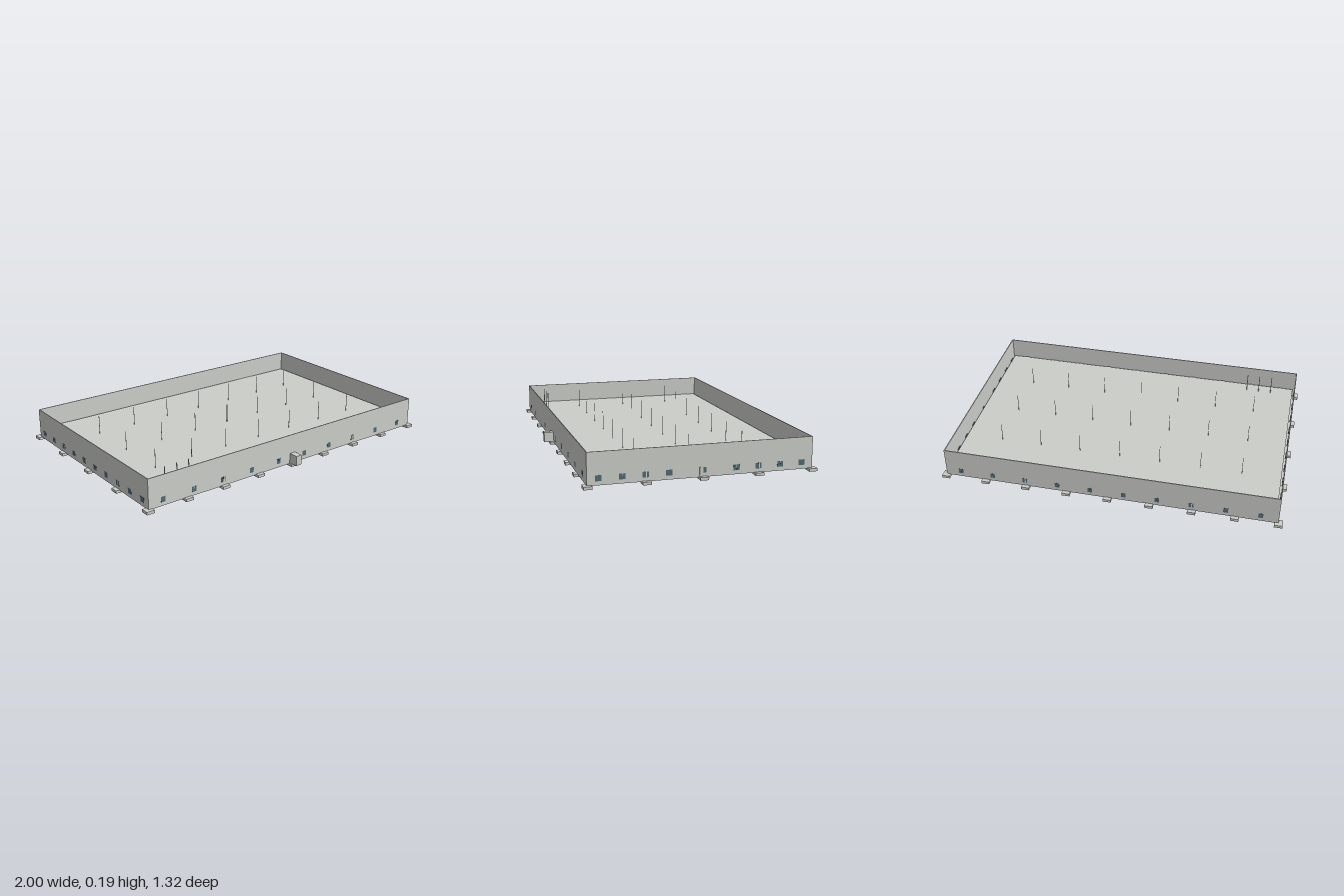
import * as THREE from 'three';

export function createModel() {
  const model = new THREE.Group();
  const concrete = new THREE.MeshStandardMaterial({ color: 0xcbcdc9 });
  concrete.name = 'concrete grey';
  const glass = new THREE.MeshStandardMaterial({ color: 0x4f6a76 });
  glass.name = 'window blue grey';

  // Box from min and max corners
  function box(name, x0, x1, y0, y1, z0, z1, mat = concrete, parent = model) {
    const mesh = new THREE.Mesh(new THREE.BoxGeometry(x1 - x0, y1 - y0, z1 - z0), mat);
    mesh.position.set((x0 + x1) / 2, (y0 + y1) / 2, (z0 + z1) / 2);
    mesh.name = name;
    parent.add(mesh);
  }

  const X = 0.976, ZF = 0.604, ZB = -0.638, T = 0.005;
  const base = 0.013, slabTop = 0.017, floorTop = 0.071, top = 0.19;
  const cols = Array.from({ length: 9 }, (_, i) => -X + (i * 2 * X) / 8);
  const rows = Array.from({ length: 5 }, (_, i) => ZB + i * 0.31);

  // Ground slab, and the raised floor set in slightly from the walls
  const inset = 0.016;
  box('groundSlab', -X + T, X - T, base + 0.001, slabTop, ZB + T, ZF - T);
  box('raisedFloor', -X + inset, X - inset, slabTop, floorTop, ZB + inset, ZF - inset);

  // Perimeter walls
  box('frontWall', -X, X, base, top, ZF - T, ZF);
  box('backWall', -X, X, base, top, ZB, ZB + T);
  box('leftWall', X - T, X, base, top, ZB + T, ZF - T);
  box('rightWall', -X, -X + T, base, top, ZB + T, ZF - T);

  // Ground beams below the slab
  const beams = new THREE.Group();
  beams.name = 'groundBeams';
  model.add(beams);
  for (const x of cols.slice(1, -1))
    box('crossBeam', x - 0.013, x + 0.013, 0.01, 0.0145, ZB, ZF, concrete, beams);
  for (const z of rows.slice(1, -1))
    box('longBeam', -X, X, 0.0105, 0.0145, z - 0.013, z + 0.013, concrete, beams);

  // Footing pads and thin interior columns
  cols.forEach((x, i) => rows.forEach((z, j) => {
    const inner = i > 0 && i < 8 && j > 0 && j < 4;
    box('footingPad', x - 0.0235, x + 0.0235, 0, inner ? 0.0142 : 0.0165, z - 0.0235, z + 0.0235);
    if (inner) box('column', x - 0.0012, x + 0.0012, floorTop, 0.186, z - 0.0012, z + 0.0012);
  }));

  // Tall posts near the front corner
  for (const x of [-0.82, -0.742, -0.665])
    box('tallPost', x - 0.002, x + 0.002, floorTop, 0.188, 0.519, 0.523);

  // Window: two panes almost flush outside, with a post where the grid crosses it
  function addWindow(x, z, angle, width, post) {
    const g = new THREE.Group();
    g.name = 'window';
    const h = width / 2;
    box('pane', -h, -0.0003, 0.035, 0.066, -0.0085, 0.0005, glass, g);
    box('pane', 0.0003, h, 0.035, 0.066, -0.0085, 0.0005, glass, g);
    if (post !== undefined)
      box('windowPost', post - 0.003, post + 0.003, 0.035, 0.066, -0.004, 0.0008, concrete, g);
    g.position.set(x, 0, z);
    g.rotation.y = angle;
    model.add(g);
  }
  for (let i = 0; i < 10; i++) {
    const x = -0.885 + i * 0.1955;
    const xPost = i === 2 || i === 7 ? 0.004 : undefined;
    addWindow(x, ZF, 0, 0.027, xPost);
    addWindow(-x, ZB, Math.PI, 0.027, xPost);
    const z = 0.543 - i * 0.1243;
    const zPost = i === 2 || i === 7 ? 0.004 : undefined;
    addWindow(-X, z, -Math.PI / 2, 0.034, zPost);
    if (i < 4 || i > 5) addWindow(X, z, Math.PI / 2, 0.034, zPost);
  }

  // Side door with a narrow window beside it
  addWindow(X, -0.025, Math.PI / 2, 0.018);
  box('sideDoor', X - 0.002, X + 0.004, 0.022, 0.067, -0.015, 0.004);

  // Front entrance porch
  box('entrancePorch', -0.019, 0.019, 0.018, 0.077, ZF - 0.002, 0.661);

  return model;
}
